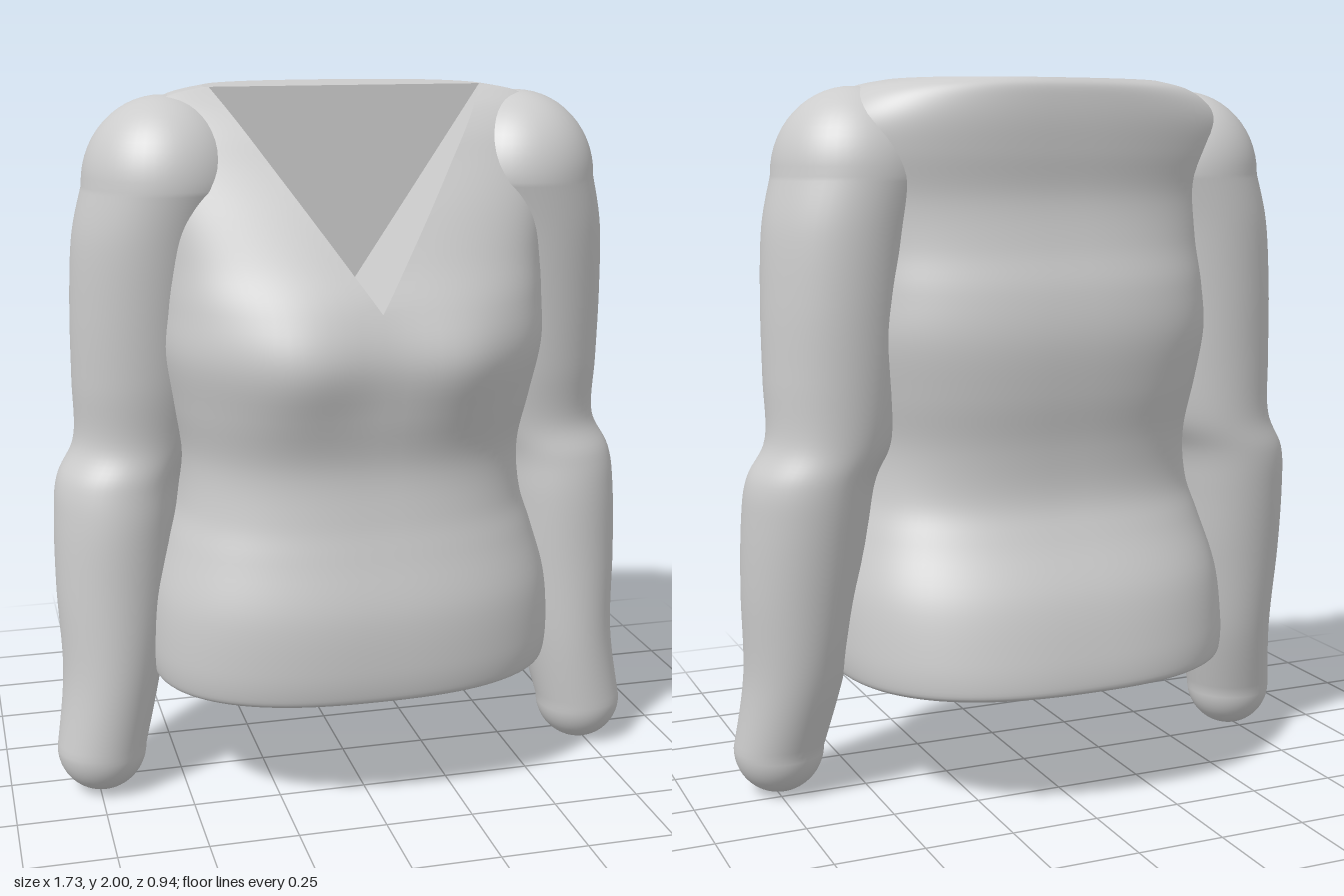
import * as THREE from 'three';

const NECK_Y = 1.43;      // tip of the V neckline
const MID_Z = 0.04;       // widest plane of the torso and back wall of the neckline
const neckHalf = (y) => Math.max(0, (y - NECK_Y) * 0.672);

// Catmull-Rom interpolation between four values
function blend(a, b, c, d, t) {
  const linear = (c - a) * t;
  const square = (2 * a - 5 * b + 4 * c - d) * t * t;
  const cube = (3 * b - a - 3 * c + d) * t * t * t;
  return 0.5 * (2 * b + linear + square + cube);
}

// Smoothly subdivides a list of key rows
function smoothRows(keys, steps) {
  const rows = [];
  for (let i = 0; i < keys.length - 1; i++) {
    const a = keys[Math.max(i - 1, 0)], b = keys[i], c = keys[i + 1], d = keys[Math.min(i + 2, keys.length - 1)];
    for (let s = 0; s < steps; s++) {
      rows.push(b.map((v, k) => blend(a[k], v, c[k], d[k], s / steps)));
    }
  }
  rows.push(keys[keys.length - 1]);
  return rows;
}

// Skins rows of points; rows run upwards, points run counter-clockwise from above
function loft(rows) {
  const n = rows[0].length, index = [];
  for (let r = 0; r < rows.length - 1; r++) {
    for (let c = 0; c < n - 1; c++) {
      const a = r * n + c, e = a + n;
      index.push(a, a + 1, e + 1, a, e + 1, e);
    }
  }
  const geo = new THREE.BufferGeometry().setFromPoints(rows.flat());
  geo.setIndex(index);
  geo.computeVertexNormals();
  // Join the normals of closed rings along the seam
  const nor = geo.attributes.normal;
  rows.forEach((row, r) => {
    if (row[0].distanceTo(row[n - 1]) > 1e-5) return;
    const i = r * n, j = i + n - 1;
    const v = new THREE.Vector3().fromBufferAttribute(nor, i);
    v.add(new THREE.Vector3().fromBufferAttribute(nor, j)).normalize();
    nor.setXYZ(i, v.x, v.y, v.z);
    nor.setXYZ(j, v.x, v.y, v.z);
  });
  return geo;
}

// Flat fan over a ring
function fan(center, ring, up) {
  const index = [];
  for (let i = 1; i < ring.length; i++) index.push(0, up ? i : i + 1, up ? i + 1 : i);
  const geo = new THREE.BufferGeometry().setFromPoints([center, ...ring]);
  geo.setIndex(index);
  geo.computeVertexNormals();
  return geo;
}

// Torso cross-section, open at the front where the neckline cuts it
function torsoRing([y, half, front, back]) {
  const p = 2.5, segments = 96;
  const start = Math.asin(Math.min(1, Math.pow(neckHalf(y) / half, p / 2)));
  const ring = [];
  for (let i = 0; i <= segments; i++) {
    const a = start + (2 * Math.PI - 2 * start) * i / segments;
    const s = Math.sin(a), c = Math.cos(a);
    const x = half * Math.sign(s) * Math.pow(Math.abs(s), 2 / p);
    const depth = c > 0 ? front - MID_Z : MID_Z - back;
    let z = MID_Z + depth * Math.sign(c) * Math.pow(Math.abs(c), 2 / p);
    if (c > 0) { // bust
      const dx = (Math.abs(x) - 0.23) / 0.15, dy = (y - 1.28) / 0.16;
      z += 0.035 * c * Math.exp(-dx * dx - dy * dy);
    }
    ring.push(new THREE.Vector3(x, y, z));
  }
  return ring;
}

// Sleeve rows: [y, centre x, centre z, radius x, radius z], closed by round ends
function sleeveRows() {
  const keys = [
    [0.13, 0.738, 0.06, 0.128, 0.128],
    [0.35, 0.698, 0.03, 0.14, 0.158],
    [0.6, 0.68, 0.005, 0.165, 0.175],
    [0.8, 0.667, -0.012, 0.175, 0.186],
    [0.92, 0.65, -0.025, 0.178, 0.184],
    [1.03, 0.598, -0.035, 0.178, 0.174],
    [1.2, 0.58, -0.025, 0.195, 0.19],
    [1.4, 0.568, -0.016, 0.205, 0.208],
    [1.6, 0.545, -0.005, 0.216, 0.225],
    [1.74, 0.505, 0.005, 0.225, 0.235],
  ];
  const cap = (key, height, dir) => {
    const list = [];
    for (let i = 0; i < 14; i++) {
      const a = (i / 14) * Math.PI / 2;
      const k = Math.max(Math.sin(a), 0.001);
      list.push([key[0] + dir * height * Math.cos(a), key[1], key[2], key[3] * k, key[4] * k]);
    }
    return list;
  };
  const last = keys[keys.length - 1];
  return [...cap(keys[0], 0.13, -1), ...smoothRows(keys, 7), ...cap(last, 0.24, 1).reverse()];
}

function sleeveGeometry(side) {
  const n = 48;
  const rings = sleeveRows().map(([y, cx, cz, rx, rz]) => {
    const ring = [];
    for (let i = 0; i <= n; i++) {
      const a = ((i % n) / n) * Math.PI * 2;
      ring.push(new THREE.Vector3(side * cx + rx * Math.sin(a), y, cz + rz * Math.cos(a)));
    }
    return ring;
  });
  return loft(rings);
}

export function createModel() {
  const group = new THREE.Group();
  const fabric = new THREE.MeshStandardMaterial({ color: 0xcccccc });
  fabric.name = 'light grey fabric';
  const add = (name, geo) => {
    const mesh = new THREE.Mesh(geo, fabric);
    mesh.name = name;
    group.add(mesh);
  };

  // Torso: [y, half width, front z, back z]
  const rows = smoothRows([
    [0.345, 0.565, 0.442, -0.457],
    [0.365, 0.583, 0.457, -0.47],
    [0.45, 0.59, 0.468, -0.46],
    [0.6, 0.578, 0.465, -0.42],
    [0.75, 0.535, 0.432, -0.345],
    [0.86, 0.5, 0.41, -0.305],
    [1.0, 0.49, 0.4, -0.308],
    [1.15, 0.52, 0.43, -0.335],
    [1.3, 0.55, 0.455, -0.35],
    [NECK_Y, 0.55, 0.428, -0.335],
    [1.55, 0.555, 0.37, -0.3],
    [1.68, 0.58, 0.3, -0.28],
    [1.8, 0.61, 0.225, -0.293],
    [1.88, 0.605, 0.175, -0.3],
    [1.94, 0.56, 0.125, -0.3],
    [1.98, 0.49, 0.075, -0.295],
    [2.0, 0.395, 0.045, -0.28],
  ], 6);
  const rings = rows.map(torsoRing);
  add('torso', loft(rings));
  add('hemUnderside', fan(new THREE.Vector3(0, 0.345, 0), rings[0], false));
  add('neckTop', fan(new THREE.Vector3(0, 2, MID_Z), rings[rings.length - 1], true));

  // V neckline: two sloping sides and an upright back wall
  const cut = rings.filter((ring) => ring[0].y >= NECK_Y - 1e-6);
  const inner = (v) => new THREE.Vector3(v.x, v.y, MID_Z);
  const leftEdge = cut.map((ring) => ring[0]);
  const rightEdge = cut.map((ring) => ring[ring.length - 1]);
  add('necklineLeft', loft(leftEdge.map((v) => [inner(v), v])));
  add('necklineRight', loft(rightEdge.map((v) => [v, inner(v)])));
  const w = neckHalf(2);
  const outline = new THREE.Shape([
    new THREE.Vector2(0, NECK_Y), new THREE.Vector2(w, 2), new THREE.Vector2(-w, 2),
  ]);
  add('necklineBack', new THREE.ShapeGeometry(outline).translate(0, 0, MID_Z));

  // Sleeves
  add('leftSleeve', sleeveGeometry(1));
  add('rightSleeve', sleeveGeometry(-1));
  return group;
}
